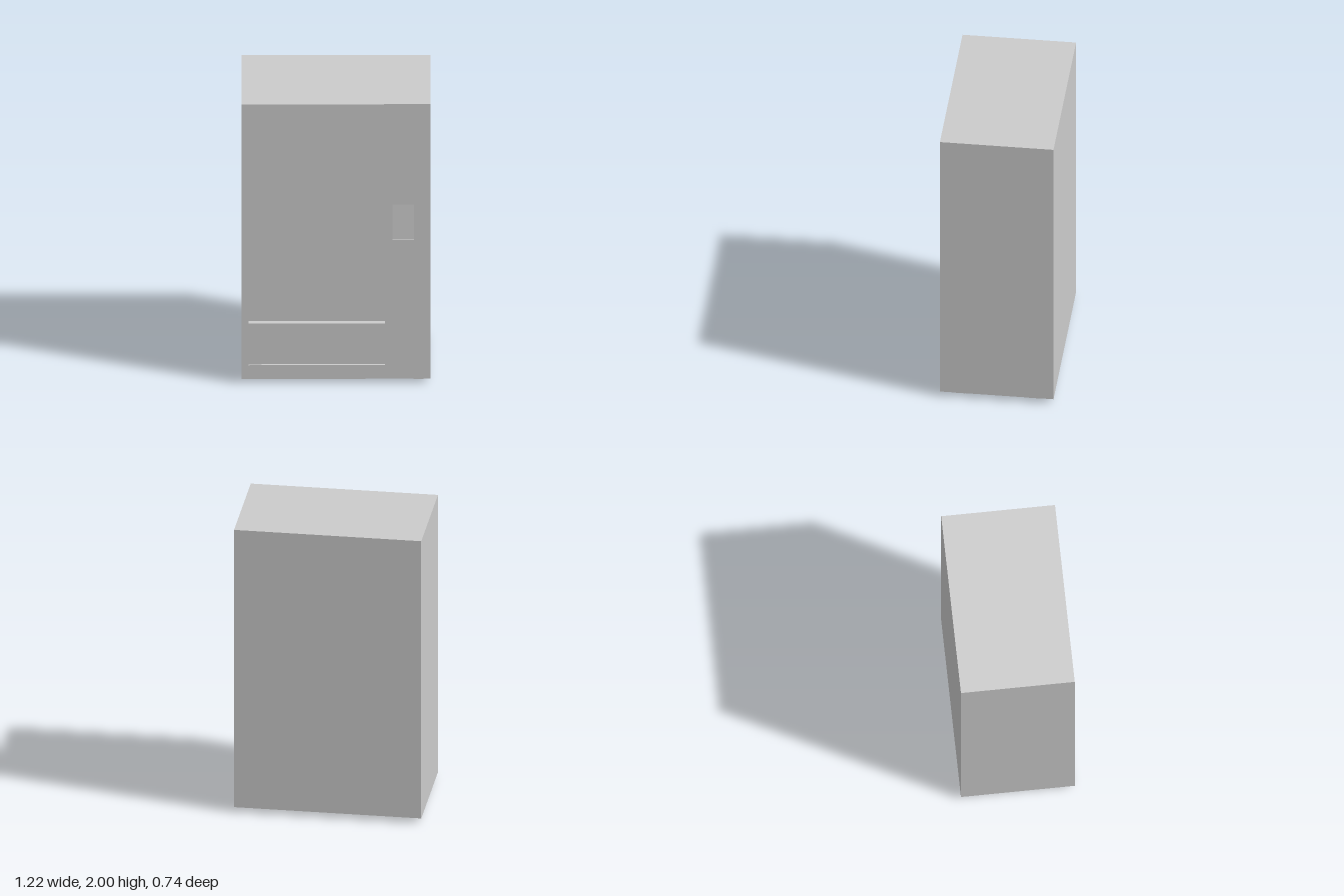
import * as THREE from 'three';

const material = new THREE.MeshStandardMaterial({ color: 0xcccccc, flatShading: true });

const W = 0.612, D = 0.37;          // half width, half depth of the cabinet
const BASE = 0.035, TOP = 2;        // underside and top of the cabinet
const RECESS = 0.04;                // thickness of the front frame
const BACK = D - RECESS;            // plane behind the front frame

// Openings in the front frame: left, right, bottom, top
const WINDOW = [-0.565, 0.318, 0.43, 1.847];
const TRAY = [-0.565, 0.318, 0.132, 0.332];
const PAYMENT = [0.365, 0.503, 1.027, 1.282];

function addMesh(group, name, geometry) {
  const mesh = new THREE.Mesh(geometry, material);
  mesh.name = name;
  group.add(mesh);
  return mesh;
}

// Box given by its limits on each axis
function block(x0, x1, y0, y1, z0, z1) {
  return new THREE.BoxGeometry(x1 - x0, y1 - y0, z1 - z0)
    .translate((x0 + x1) / 2, (y0 + y1) / 2, (z0 + z1) / 2);
}

function rectangle(PathType, [x0, x1, y0, y1]) {
  const points = [[x0, y0], [x1, y0], [x1, y1], [x0, y1]];
  return new PathType(points.map(([x, y]) => new THREE.Vector2(x, y)));
}

export function createModel() {
  const model = new THREE.Group();
  model.name = 'vendingMachine';

  // Cabinet body; its front face is the back of the display window
  addMesh(model, 'cabinet', block(-W, W, BASE, TOP, -D, BACK));

  // Front frame with three openings
  const frame = rectangle(THREE.Shape, [-W, W, BASE, TOP]);
  frame.holes = [WINDOW, TRAY, PAYMENT].map((r) => rectangle(THREE.Path, r));
  addMesh(model, 'frontFrame',
    new THREE.ExtrudeGeometry(frame, { depth: RECESS, bevelEnabled: false }).translate(0, 0, BACK));

  // Shallow collection flap
  addMesh(model, 'collectionFlap', block(...TRAY, BACK, D - 0.015));

  // Payment panel, leaning back towards its top
  const panel = block(...PAYMENT, BACK, D - 0.01);
  const p = panel.attributes.position;
  for (let i = 0; i < p.count; i++) {
    if (p.getZ(i) > BACK + 0.01 && p.getY(i) > 1.15) p.setZ(i, D - 0.025);
  }
  panel.computeVertexNormals();
  addMesh(model, 'paymentPanel', panel);

  // Four short feet
  for (const x of [-0.533, 0.533]) {
    for (const z of [-0.249, 0.253]) {
      addMesh(model, 'foot', block(x - 0.031, x + 0.031, 0, BASE, z - 0.044, z + 0.044));
    }
  }
  return model;
}
